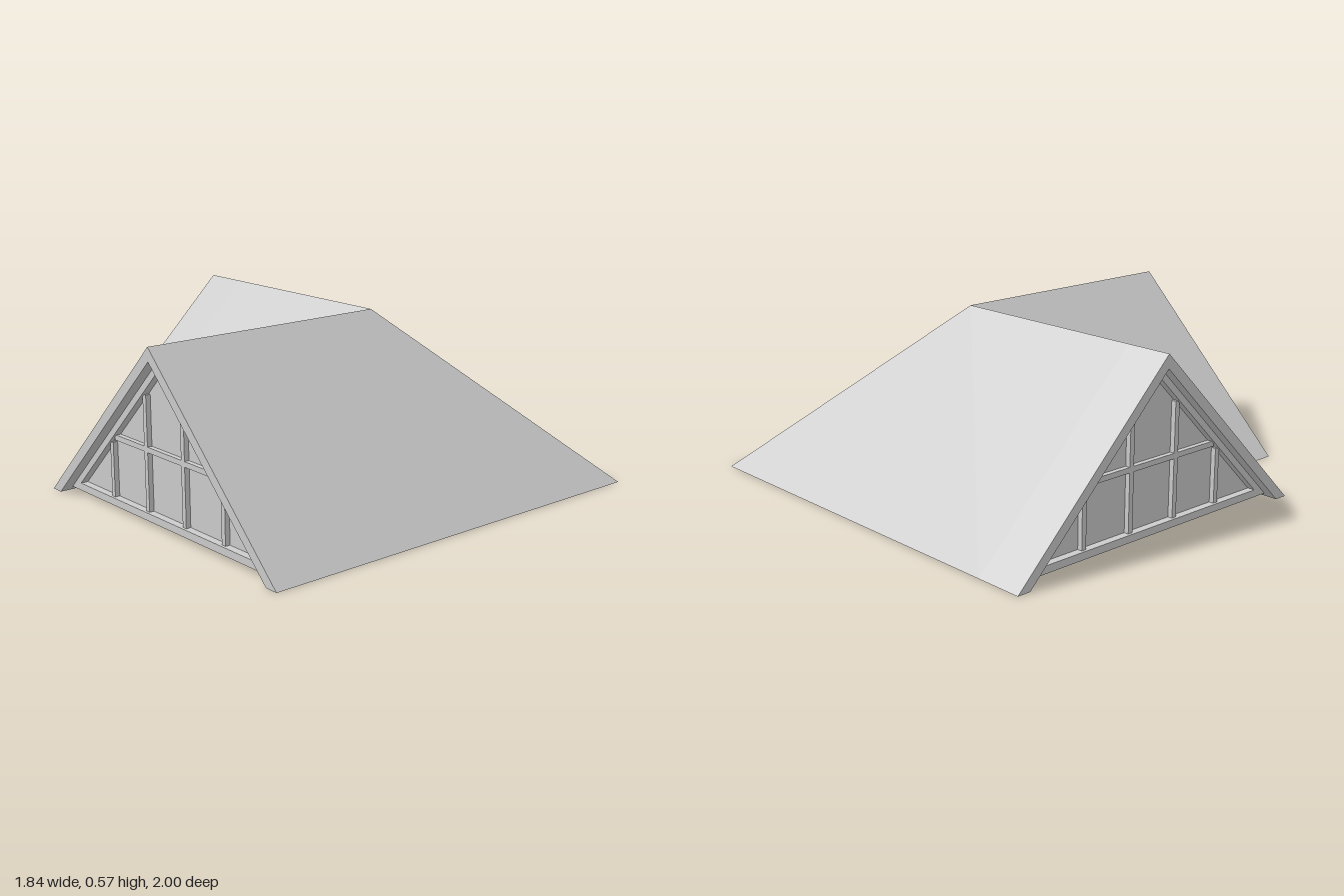
import * as THREE from 'three';

const HALF = 0.578;    // half width of each wing
const RIDGE = 0.567;   // ridge height
const END = -0.858;    // where both wings stop
const STEP = -0.7;     // inner end of the thick gable rim
const RIM = 0.045;     // level thickness of the gable rim
const OUTER = 0.043;   // level thickness of the two long outer slopes
const VALLEY = 0.01;   // level thickness of the two short valley slopes
const SLOPE = RIDGE / HALF;

const mat = new THREE.MeshStandardMaterial({ color: 0xcccccc, flatShading: true, side: THREE.DoubleSide });

function add(parent, geometry, name, x = 0, y = 0, z = 0) {
  const mesh = new THREE.Mesh(geometry, mat);
  mesh.name = name;
  mesh.position.set(x, y, z);
  parent.add(mesh);
}

// Cross-section of a wing: outer chevron, then inner chevron back again
function profile(valleySide, outerSide) {
  return [
    [-HALF, 0], [0, RIDGE], [HALF, 0],
    [HALF - outerSide, 0],
    [(valleySide - outerSide) / 2, (HALF - (valleySide + outerSide) / 2) * SLOPE],
    [valleySide - HALF, 0],
  ];
}

// Gabled shell swept round a mitred right-angle corner, thicker at both gables
function roofGeometry() {
  const rim = profile(RIM, RIM);
  const slab = profile(VALLEY, OUTER);
  const alongX = (p, at) => p.map(([s, y]) => [at, y, s]);
  const alongZ = (p, at) => p.map(([s, y]) => [s, y, at]);
  const sections = [
    alongX(rim, END), alongX(rim, STEP), alongX(slab, STEP),
    slab.map(([s, y]) => [s, y, s]),
    alongZ(slab, STEP), alongZ(rim, STEP), alongZ(rim, END),
  ];
  const pos = [];
  const quad = (a, b, c, d) => pos.push(...a, ...b, ...c, ...a, ...c, ...d);
  for (let k = 0; k < sections.length - 1; k++) {
    const from = sections[k], to = sections[k + 1];
    // the two step rings only have faces on the inside
    const start = k === 1 || k === 4 ? 2 : 0;
    for (let i = start; i < 6; i++) {
      const j = (i + 1) % 6;
      quad(from[i], from[j], to[j], to[i]);
    }
  }
  // end faces of the slopes at each gable
  const a = sections[0], c = sections[6];
  quad(a[5], a[4], a[1], a[0]);
  quad(a[4], a[3], a[2], a[1]);
  quad(c[0], c[1], c[4], c[5]);
  quad(c[1], c[2], c[3], c[4]);

  const g = new THREE.BufferGeometry();
  g.setAttribute('position', new THREE.Float32BufferAttribute(pos, 3));
  g.computeVertexNormals();
  return g;
}

// Triangle under the roof line with the given apex, cut level at its base
function triangle(apex, base, Type = THREE.Shape) {
  const w = (apex - base) / SLOPE;
  const t = new Type();
  t.moveTo(-w, base);
  t.lineTo(w, base);
  t.lineTo(0, apex);
  t.closePath();
  return t;
}

// Glazed gable wall, facing +z
function gableWindow(name) {
  const g = new THREE.Group();
  g.name = name;
  const front = 0.822, depth = 0.05, bar = 0.017, barDepth = 0.032;
  const wallApex = (HALF - RIM) * SLOPE, glassApex = 0.494;
  const wallBase = 0.014, glassBase = 0.038, railY = 0.233;
  const mid = front - depth / 2;

  const frame = triangle(wallApex, wallBase);
  frame.holes.push(triangle(glassApex, glassBase, THREE.Path));
  add(g, new THREE.ExtrudeGeometry(frame, { depth, bevelEnabled: false }), 'windowFrame', 0, 0, front - depth);
  add(g, new THREE.ShapeGeometry(triangle(glassApex, glassBase)), 'glass', 0, 0, mid);

  const railLength = 2 * (glassApex - railY) / SLOPE;
  add(g, new THREE.BoxGeometry(railLength, bar, barDepth), 'crossRail', 0, railY, mid);

  // inner mullions reach the upper panes, outer ones stop at the rake
  for (const x of [-0.285, -0.095, 0.095, 0.285]) {
    const h = glassApex - Math.abs(x) * SLOPE - glassBase;
    add(g, new THREE.BoxGeometry(bar, h, barDepth), 'mullion', x, glassBase + h / 2, mid);
  }
  return g;
}

export function createModel() {
  const model = new THREE.Group();
  model.name = 'gabledCornerRoof';

  const house = new THREE.Group();
  house.name = 'roofAssembly';
  house.position.set(0.115, 0, 0.034);
  house.rotation.y = THREE.MathUtils.degToRad(35.1);
  model.add(house);

  add(house, roofGeometry(), 'roof');

  const sideGable = gableWindow('sideGable');
  sideGable.rotation.y = -Math.PI / 2;
  const backGable = gableWindow('backGable');
  backGable.rotation.y = Math.PI;
  house.add(sideGable, backGable);

  return model;
}
